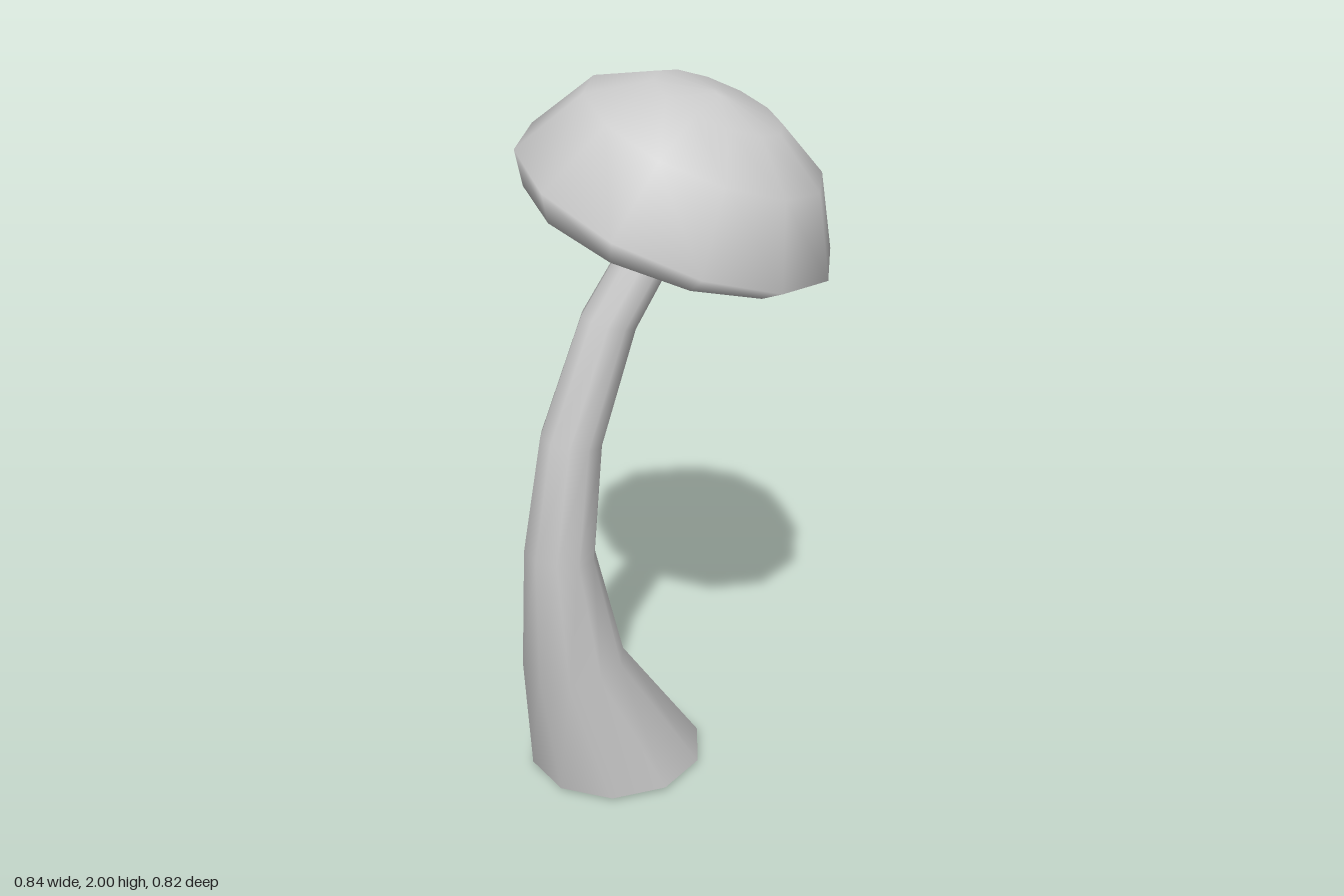
import * as THREE from 'three';

const SIDES = 10;

// Stem rings: centre x, y, z, radius, slope of the ring along x and z
const STEM_RINGS = [
  [-0.13, 0.01, -0.093, 0.253, 0.01, 0.03],
  [-0.277, 0.43, 0.017, 0.142, -0.02, -0.03],
  [-0.313, 0.79, 0.055, 0.095, -0.15, 0],
  [-0.27, 1.105, 0.046, 0.081, -0.19, 0],
  [-0.158, 1.405, 0.018, 0.071, -0.26, 0],
  [0.035, 1.72, 0.01, 0.06, -0.4, 0],
];

// Skin of quads joining the stem rings, left open at the foot
function stemGeometry() {
  const pos = [], index = [];
  STEM_RINGS.forEach(([cx, cy, cz, r, sx, sz], j) => {
    for (let i = 0; i < SIDES; i++) {
      const a = (i / SIDES) * Math.PI * 2;
      const dx = r * Math.cos(a), dz = r * Math.sin(a);
      pos.push(cx + dx, cy + sx * dx + sz * dz, cz + dz);
      if (j === 0) continue;
      const n = (i + 1) % SIDES, lo = (j - 1) * SIDES, hi = j * SIDES;
      index.push(lo + i, hi + i, lo + n, lo + n, hi + i, hi + n);
    }
  });
  const geo = new THREE.BufferGeometry();
  geo.setAttribute('position', new THREE.Float32BufferAttribute(pos, 3));
  geo.setIndex(index);
  geo.computeVertexNormals();
  return geo;
}

// Domed cap with a rounded rim and a hollowed underside
function capGeometry() {
  const profile = [
    [0, 0], [0.2, -0.015], [0.345, -0.06], [0.37, -0.062], [0.42, 0],
    [0.312, 0.182], [0.168, 0.264], [0.02, 0.287], [0, 0.287],
  ].map(([r, h]) => new THREE.Vector2(r, h));
  const geo = new THREE.LatheGeometry(profile, 12, THREE.MathUtils.degToRad(-8.5));
  // The lower lip is deeper on the raised side
  const p = geo.attributes.position;
  for (let i = 0; i < p.count; i++) {
    if (p.getY(i) < -0.01) p.setY(i, p.getY(i) + 0.05 * p.getX(i) + 0.03 * p.getZ(i));
  }
  return geo;
}

export function createModel() {
  const group = new THREE.Group();
  group.name = 'mushroom';

  const stem = new THREE.Mesh(
    stemGeometry(),
    new THREE.MeshStandardMaterial({ color: 0xcccccc, side: THREE.DoubleSide })
  );
  stem.name = 'stem';

  // The cap leans to its left and forward
  const cap = new THREE.Mesh(capGeometry(), new THREE.MeshStandardMaterial({ color: 0xcccccc }));
  cap.name = 'cap';
  cap.position.set(0.026, 1.69, 0);
  cap.quaternion.setFromUnitVectors(
    new THREE.Vector3(0, 1, 0),
    new THREE.Vector3(0.345, 1, 0.21).normalize()
  );

  group.add(stem, cap);
  return group;
}
